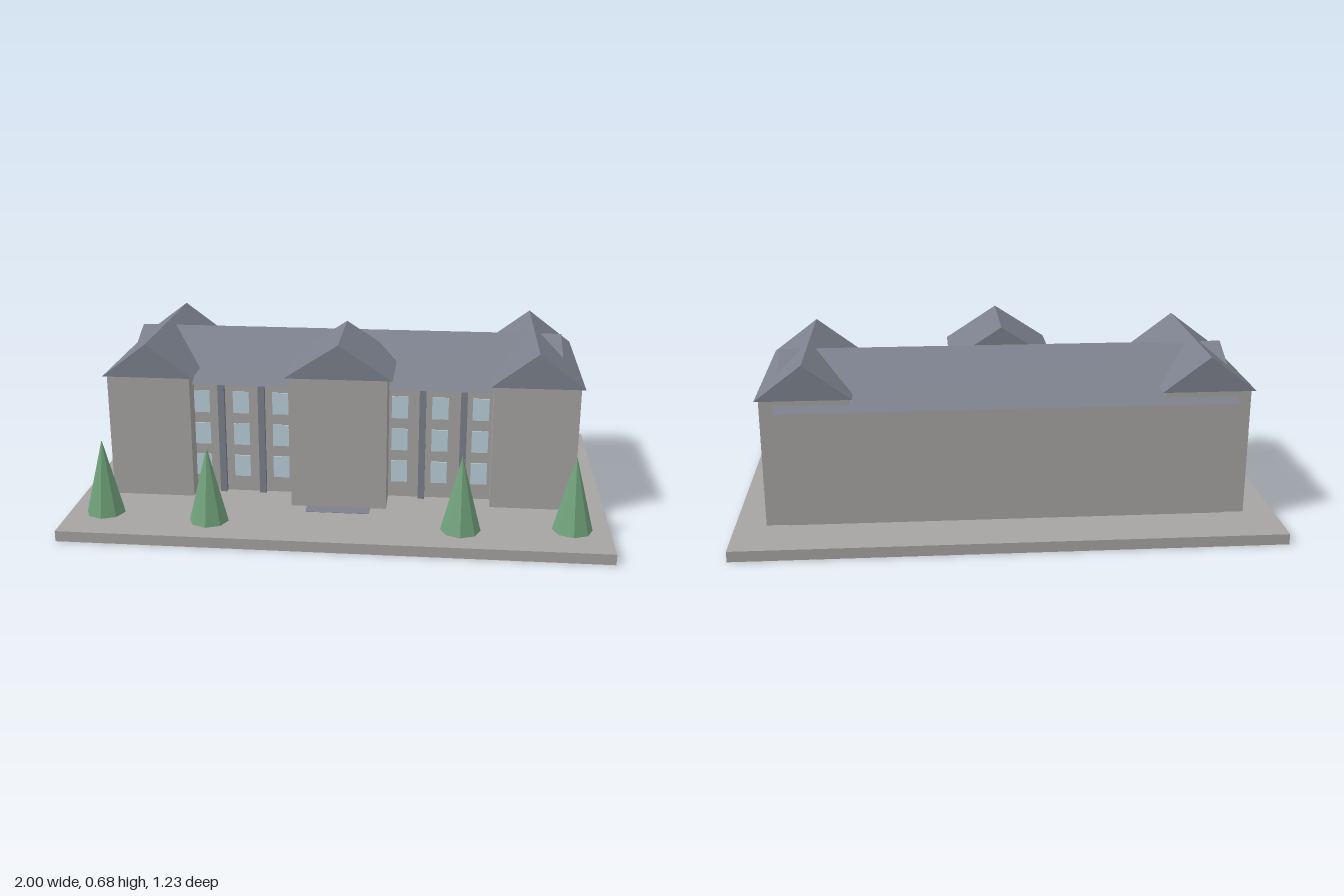
import * as THREE from 'three';

const mat = (name, color) => Object.assign(new THREE.MeshStandardMaterial({ color }), { name });

export function createModel() {
  const group = new THREE.Group();
  const stone = mat('stone', 0xa6a4a2);
  const slate = mat('slate', 0x7b808c);
  const glass = mat('glass', 0xbacfda);
  const leaf = mat('leaf', 0x71a27b);

  const add = (name, geometry, material) => {
    const mesh = new THREE.Mesh(geometry, material);
    mesh.name = name;
    group.add(mesh);
    return mesh;
  };
  // Box given by its limits on each axis
  const box = (name, [x0, x1], [y0, y1], [z0, z1], material) =>
    add(name, new THREE.BoxGeometry(x1 - x0, y1 - y0, z1 - z0), material)
      .position.set((x0 + x1) / 2, (y0 + y1) / 2, (z0 + z1) / 2);
  // Solid gable prism, ridge along its local z
  const gable = (width, height, length) => {
    const s = new THREE.Shape();
    s.moveTo(-width / 2, 0);
    s.lineTo(width / 2, 0);
    s.lineTo(0, height);
    s.closePath();
    return new THREE.ExtrudeGeometry(s, { depth: length, bevelEnabled: false }).translate(0, 0, -length / 2);
  };

  const ground = 0.04;
  box('basePlate', [-1, 1], [0, ground], [-0.613, 0.613], stone);

  // Main block, its ridge running left to right
  box('mainBlock', [-0.8, 0.8], [ground, 0.48], [-0.405, 0.17], stone);
  add('mainRoof', gable(0.636, 0.15, 1.67).rotateY(Math.PI / 2), slate).position.set(0, 0.48, -0.118);

  // End wings
  for (const side of [-1, 1]) {
    const wing = side * 0.728;
    box('wing', [wing - 0.158, wing + 0.158], [ground, 0.52], [-0.4, 0.245], stone);
    add('wingRoof', gable(0.344, 0.13, 0.675), slate).position.set(wing, 0.52, -0.078);
  }

  // Entrance bay and its doorstep
  box('entranceBay', [-0.18, 0.18], [ground, 0.55], [-0.03, 0.3], stone);
  add('entranceRoof', gable(0.4, 0.13, 0.365), slate).position.set(0, 0.55, 0.133);
  box('doorstep', [-0.12, 0.12], [0.03, 0.0412], [0.28, 0.355], slate);

  // Evenly spaced windows; the middle of the grid lies behind the bay
  for (const i of [0, 1, 2, 5, 6, 7]) {
    const x = -0.541 + i * 0.1525;
    for (const y of [0.145, 0.275, 0.404])
      box('window', [x - 0.031, x + 0.031], [y - 0.043, y + 0.043], [0.168, 0.175], glass);
  }

  // Pilasters between the windows
  for (const x of [-0.463, -0.308, 0.308, 0.463])
    box('pilaster', [x - 0.0125, x + 0.0125], [ground, 0.48], [0.165, 0.19], slate);

  // Faceted conifers
  for (const [x, z] of [[-0.866, 0.42], [-0.464, 0.46], [0.46, 0.46], [0.864, 0.42]]) {
    const cone = new THREE.ConeGeometry(0.073, 0.285, 8).toNonIndexed();
    cone.computeVertexNormals();
    add('conifer', cone, leaf).position.set(x, ground + 0.1425, z);
  }
  return group;
}
